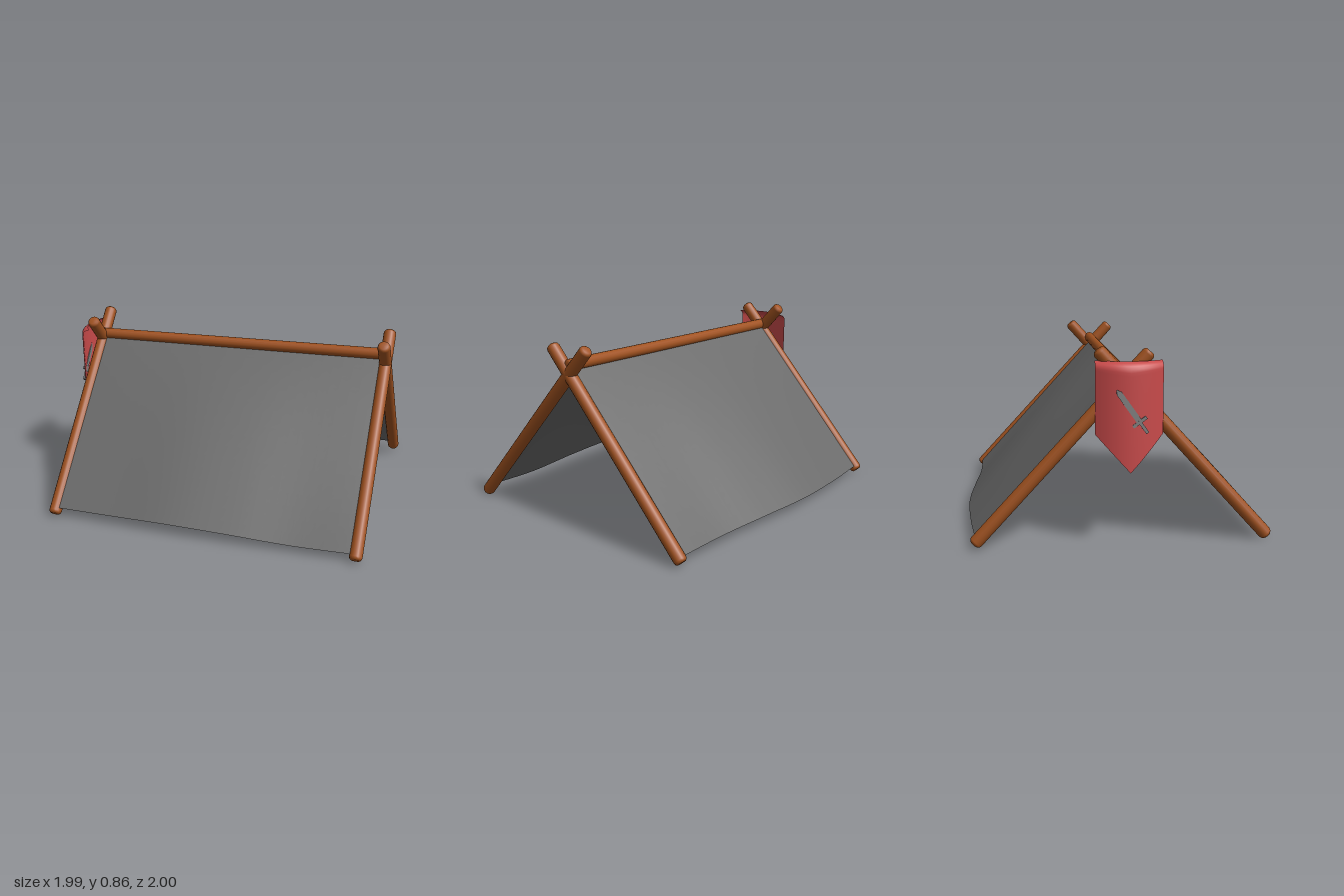
import * as THREE from 'three';

const wood = new THREE.MeshStandardMaterial({ color: 0xa05220 });
const canvas = new THREE.MeshStandardMaterial({ color: 0x6a6a6a, side: THREE.DoubleSide });
const red = new THREE.MeshStandardMaterial({ color: 0xc84a4a, side: THREE.DoubleSide });
const steel = new THREE.MeshStandardMaterial({ color: 0x808080 });

const V = (x, y, z) => new THREE.Vector3(x, y, z);

function add(parent, name, geometry, material) {
  const mesh = new THREE.Mesh(geometry, material);
  mesh.name = name;
  parent.add(mesh);
  return mesh;
}

// Round log with softly bevelled ends, running from a to b
function log(parent, name, a, b, r) {
  const len = a.distanceTo(b), e = r * 0.5;
  const profile = [[0, 0], [r * 0.65, 0], [r * 0.9, e * 0.4], [r, e], [r, len - e],
    [r * 0.9, len - e * 0.4], [r * 0.65, len], [0, len]].map(p => new THREE.Vector2(...p));
  const mesh = add(parent, name, new THREE.LatheGeometry(profile, 16), wood);
  mesh.position.copy(a);
  mesh.quaternion.setFromUnitVectors(V(0, 1, 0), b.clone().sub(a).normalize());
}

// Thin sheet: fn maps u, v in 0..1 to a point
function sheet(nu, nv, fn) {
  const g = new THREE.PlaneGeometry(1, 1, nu, nv);
  const p = g.attributes.position;
  for (let i = 0; i < p.count; i++) {
    const q = fn(p.getX(i) + 0.5, 0.5 - p.getY(i));
    p.setXYZ(i, q.x, q.y, q.z);
  }
  g.computeVertexNormals();
  return g;
}

export function createModel() {
  const model = new THREE.Group();
  model.name = 'tent';
  // The tent is built along z, then turned to stand diagonally
  const tent = new THREE.Group();
  tent.name = 'tentBody';
  tent.rotation.y = 0.761;
  model.add(tent);

  // Crossed end poles
  for (const end of [1, -1]) {
    for (const side of [1, -1]) {
      const foot = V(side * 0.645, side > 0 ? 0.026 : 0.019, end * 0.735);
      const tip = V(-side * 0.112, side > 0 ? 0.846 : 0.855, end * 0.735);
      log(tent, (end > 0 ? 'front' : 'back') + (side > 0 ? 'Left' : 'Right') + 'Pole', foot, tip, 0.03);
    }
  }

  // Ridge pole resting in the forks
  log(tent, 'ridgePole', V(0, 0.75, -0.768), V(0, 0.772, 0.75), 0.027);

  // Canvas panels: hem waves out and up, middle billows a little
  const hems = {
    '-1': { out: [0, 0.008, 0.02, 0.014, 0.002, 0], up: [0, 0.004, 0.012, 0.004, -0.01, -0.004] },
    '1': { out: [0, 0.03, 0.044, 0.026, 0.002, 0], up: [0, 0, 0.002, 0.003, 0, 0] },
  };
  for (const side of [1, -1]) {
    const { out, up } = hems[side];
    const wave = new THREE.CatmullRomCurve3(out.map((o, i) => V(o, up[i], i / 5)));
    const panel = sheet(30, 16, (u, v) => {
      const hem = wave.getPoint(u);
      const billow = 0.012 * Math.sin(Math.PI * u) * Math.sin(Math.PI * v);
      return V(side * (0.64 * v + hem.x * v + billow * 0.74),
        0.75 - 0.7 * v + hem.y * v + billow * 0.67, -0.735 + 1.47 * u);
    });
    add(tent, side > 0 ? 'leftCanvas' : 'rightCanvas', panel, canvas);
  }

  // Curved pennant with a curled top and a pointed bottom
  const banner = new THREE.Group();
  banner.name = 'banner';
  banner.position.set(-0.019, 0, 0);
  tent.add(banner);
  const cloth = sheet(16, 24, (u, v) => {
    const x = (u - 0.5) * 2;
    const bottom = 0.5 - 0.16 * (1 - Math.abs(x));
    const curl = Math.max(0, 1 - v / 0.16);
    const drop = Math.pow(v, 1.3);
    return V(x * 0.145, 0.81 - drop * (0.81 - bottom),
      -0.77 - 0.05 * (1 - x * x) + 0.035 * curl * curl);
  });
  add(banner, 'bannerCloth', cloth, red);

  // Small flat sword lying across the banner
  const sword = new THREE.Group();
  sword.name = 'sword';
  sword.position.set(-0.008, 0.6, -0.819);
  sword.rotation.z = -0.62;
  banner.add(sword);
  const blade = new THREE.Shape([[-0.012, -0.05], [0.012, -0.05], [0.012, 0.1], [0, 0.12], [-0.012, 0.1]]
    .map(p => new THREE.Vector2(...p)));
  add(sword, 'blade', new THREE.ExtrudeGeometry(blade, { depth: 0.006, bevelEnabled: false }), steel)
    .position.z = -0.003;
  add(sword, 'guard', new THREE.BoxGeometry(0.07, 0.014, 0.008), steel).position.y = -0.05;
  add(sword, 'grip', new THREE.BoxGeometry(0.014, 0.055, 0.008), steel).position.y = -0.08;

  return model;
}
